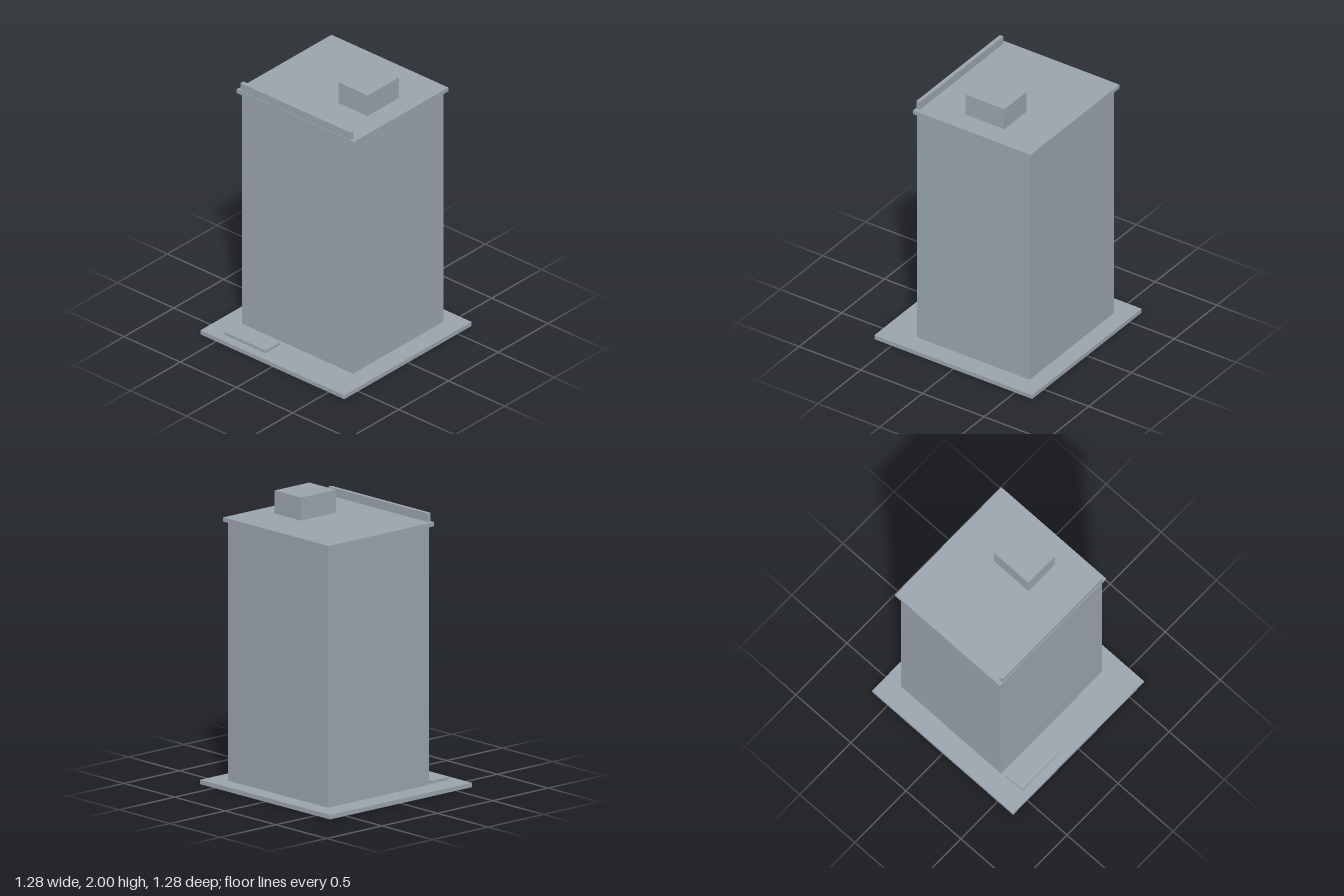
import * as THREE from 'three';

export function createModel() {
  const model = new THREE.Group();
  model.name = 'towerBlock';
  const concrete = new THREE.MeshStandardMaterial({ color: 0x9aa3ad });
  concrete.name = 'blueGreyConcrete';

  // Box given by its limits on each axis
  const block = (name, [x0, x1], [y0, y1], [z0, z1]) => {
    const mesh = new THREE.Mesh(new THREE.BoxGeometry(x1 - x0, y1 - y0, z1 - z0), concrete);
    mesh.name = name;
    mesh.position.set((x0 + x1) / 2, (y0 + y1) / 2, (z0 + z1) / 2);
    model.add(mesh);
  };

  // Ground and entrance
  block('basePlate', [-0.64, 0.64], [0, 0.031], [-0.64, 0.64]);
  block('entranceStep', [-0.48, -0.116], [0.031, 0.051], [0.428, 0.576]);

  // Main building
  block('towerBody', [-0.488, 0.497], [0.031, 1.812], [-0.519, 0.391]);

  // Roof
  block('roofSlab', [-0.521, 0.519], [1.812, 1.841], [-0.543, 0.409]);
  block('frontParapet', [-0.49, 0.488], [1.841, 1.9], [0.377, 0.405]);
  block('roofHousing', [0.102, 0.363], [1.841, 2], [-0.221, 0.092]);

  return model;
}
